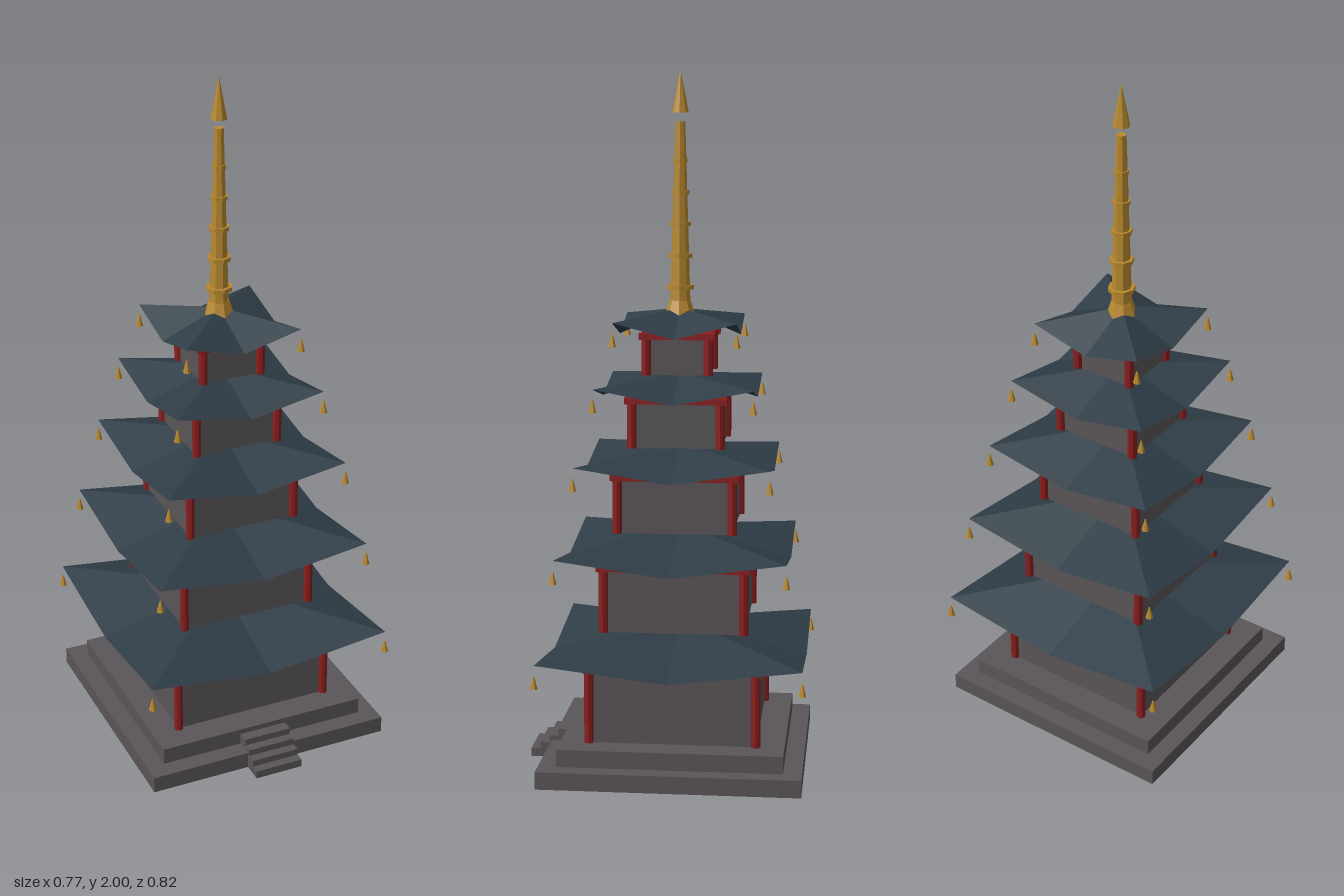
import * as THREE from 'three';

const mat = (name, color, extra = {}) => {
  const m = new THREE.MeshStandardMaterial({ color, flatShading: true, ...extra });
  m.name = name;
  return m;
};

export function createModel() {
  const stone = mat('stone grey', 0x5a5558);
  const red = mat('painted red', 0x8b1e1e);
  const tile = mat('slate tile', 0x2f3d47, { side: THREE.DoubleSide });
  const gold = mat('gold', 0xb8892f);

  const model = new THREE.Group();
  model.name = 'pagoda';
  const tower = new THREE.Group();
  tower.name = 'tower';
  tower.position.z = -0.026;
  model.add(tower);

  const add = (parent, name, geo, material, x = 0, y = 0, z = 0) => {
    const mesh = new THREE.Mesh(geo, material);
    mesh.name = name;
    mesh.position.set(x, y, z);
    parent.add(mesh);
    return mesh;
  };
  // Box given by its bottom and top heights
  const block = (parent, name, material, w, y0, y1, d, x = 0, z = 0) =>
    add(parent, name, new THREE.BoxGeometry(w, y1 - y0, d), material, x, (y0 + y1) / 2, z);

  // Stepped base and front stairs
  block(tower, 'lowerPlinth', stone, 0.746, 0, 0.05, 0.746);
  block(tower, 'upperPlinth', stone, 0.64, 0.05, 0.1, 0.64);
  for (let i = 0; i < 4; i++) {
    const front = 0.434 - i * 0.027;
    block(tower, 'stairStep', stone, 0.146, 0, 0.024 + i * 0.02, front - 0.3, 0, (front + 0.3) / 2);
  }

  // Four-sided roof with raised corners and low eave centres
  const roofGeometry = (half, apex, corner, mid) => {
    const ring = [[0, 1], [1, 1], [1, 0], [1, -1], [0, -1], [-1, -1], [-1, 0], [-1, 1]]
      .map(([x, z]) => [x * half, x && z ? corner : mid, z * half]);
    const pos = ring.flatMap((p, i) => [0, apex, 0, ...p, ...ring[(i + 1) % 8]]);
    const geo = new THREE.BufferGeometry();
    geo.setAttribute('position', new THREE.Float32BufferAttribute(pos, 3));
    geo.computeVertexNormals();
    return geo;
  };

  // Storeys: bottom, beam top, pillar offset, roof half width, eave centre, eave corner, apex
  const storeys = [
    [0.1, 0.324, 0.238, 0.373, 0.312, 0.357, 0.414],
    [0.414, 0.61, 0.2, 0.325, 0.6, 0.645, 0.695],
    [0.695, 0.865, 0.164, 0.275, 0.855, 0.898, 0.935],
    [0.935, 1.08, 0.126, 0.225, 1.07, 1.113, 1.14],
    [1.14, 1.26, 0.089, 0.175, 1.25, 1.295, 1.325],
  ];
  const signs = [[1, 1], [1, -1], [-1, -1], [-1, 1]];
  storeys.forEach(([y0, y1, w, half, mid, corner, apex], n) => {
    const storey = new THREE.Group();
    storey.name = 'storey' + (n + 1);
    tower.add(storey);
    block(storey, 'wall', stone, w * 2, y0, y1 - 0.006, w * 2);
    const pillar = new THREE.CylinderGeometry(0.0135, 0.0135, y1 - y0 - 0.004, 8);
    const bell = new THREE.CylinderGeometry(0.002, 0.011, 0.036, 6);
    for (const [sx, sz] of signs) {
      add(storey, 'pillar', pillar, red, sx * w, (y0 + y1) / 2 - 0.002, sz * w);
      add(storey, 'cornerBell', bell, gold, sx * half, mid - 0.004, sz * half);
    }
    // Beams tying the pillar tops together
    const span = (w + 0.02) * 2;
    for (const s of [-1, 1]) {
      block(storey, 'crossBeam', red, span, y1 - 0.018, y1, 0.03, 0, s * w);
      block(storey, 'sideBeam', red, 0.03, y1 - 0.018, y1, span, s * w, 0);
    }
    add(storey, 'roof', roofGeometry(half, apex, corner, mid), tile);
  });

  // Ringed spire with a separate pointed finial
  const spire = new THREE.Group();
  spire.name = 'spire';
  tower.add(spire);
  add(spire, 'spireBase', new THREE.CylinderGeometry(0.03, 0.047, 0.05, 8), gold, 0, 1.322, 0);
  add(spire, 'spirePole', new THREE.CylinderGeometry(0.014, 0.03, 0.535, 8), gold, 0, 1.5875, 0);
  for (let i = 0; i < 5; i++) {
    const r = 0.039 - i * 0.0045;
    add(spire, 'spireRing', new THREE.CylinderGeometry(r, r, 0.012, 8), gold, 0, 1.385 + i * 0.09, 0);
  }
  add(spire, 'finial', new THREE.ConeGeometry(0.024, 0.12, 8), gold, 0, 1.94, 0);

  return model;
}
